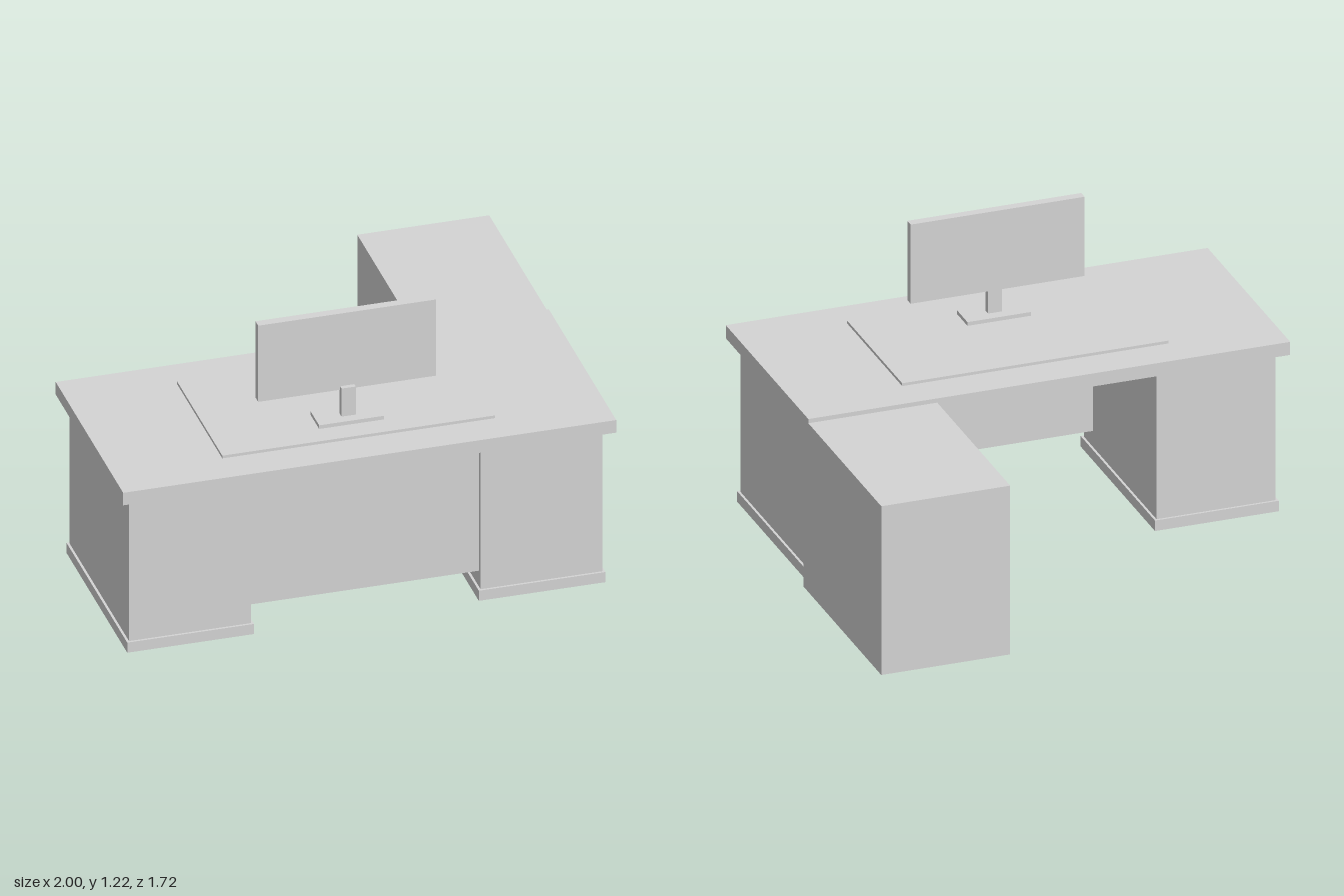
import * as THREE from 'three';

export function createModel() {
  const desk = new THREE.Group();
  desk.name = 'desk';
  const grey = new THREE.MeshStandardMaterial({ color: 0xd4d4d4 });
  grey.name = 'light grey';

  // A box given by its extents along each axis
  const box = (parent, name, [x0, x1], [y0, y1], [z0, z1]) => {
    const mesh = new THREE.Mesh(new THREE.BoxGeometry(x1 - x0, y1 - y0, z1 - z0), grey);
    mesh.position.set((x0 + x1) / 2, (y0 + y1) / 2, (z0 + z1) / 2);
    mesh.name = name;
    parent.add(mesh);
  };

  // Main worktop and the side cabinet behind its left end
  box(desk, 'worktop', [-1, 1], [0.687, 0.743], [-0.053, 0.86]);
  box(desk, 'returnCabinet', [0.465, 1], [0, 0.725], [-0.86, 0.003]);

  // Pedestals on slightly wider plinths
  for (const [side, s] of [['left', 1], ['right', -1]]) {
    const pedestal = new THREE.Group();
    pedestal.name = side + 'Pedestal';
    pedestal.position.x = s * 0.713;
    box(pedestal, 'pedestalBody', [-0.247, 0.247], [0.045, 0.687], [0.003, 0.805]);
    box(pedestal, 'plinth', [-0.257, 0.257], [0, 0.045], [-0.007, 0.815]);
    desk.add(pedestal);
  }

  // Panel closing the knee space
  box(desk, 'modestyPanel', [-0.467, 0.467], [0.115, 0.687], [0.703, 0.782]);

  // Desk pad and monitor
  box(desk, 'deskPad', [-0.553, 0.553], [0.743, 0.755], [0.1, 0.71]);
  const monitor = new THREE.Group();
  monitor.name = 'monitor';
  box(monitor, 'monitorBase', [-0.132, 0.132], [0.755, 0.771], [0.5, 0.616]);
  box(monitor, 'monitorStand', [-0.029, 0.029], [0.771, 0.896], [0.545, 0.575]);
  box(monitor, 'screen', [-0.361, 0.361], [0.88, 1.22], [0.518, 0.555]);
  desk.add(monitor);

  return desk;
}
